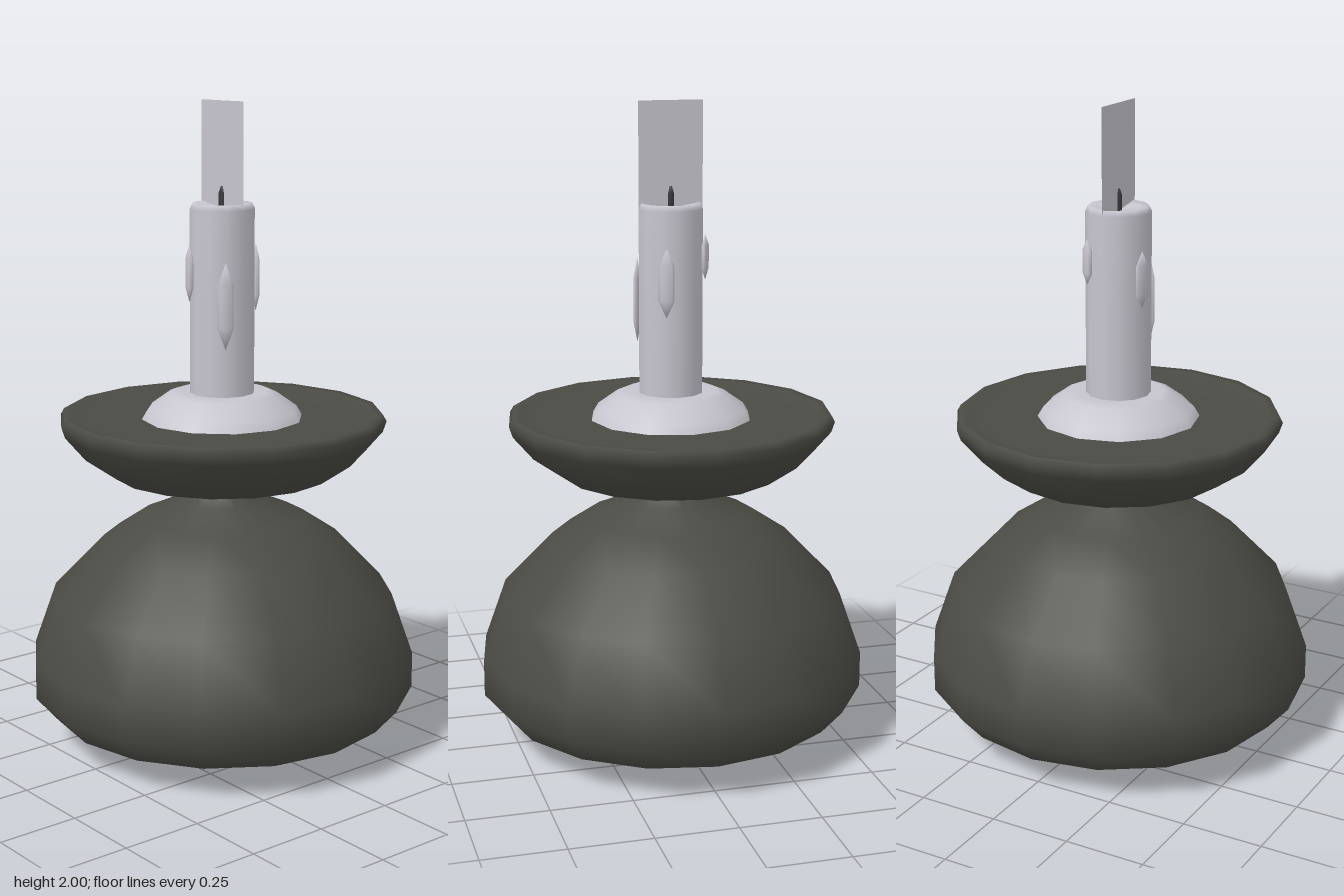
import * as THREE from 'three';

const mat = (name, color, extra = {}) => {
  const m = new THREE.MeshStandardMaterial({ color, ...extra });
  m.name = name;
  return m;
};

// Turned part from [radius, height] pairs listed bottom to top
function turned(name, points, sides, material) {
  const geo = new THREE.LatheGeometry(points.map(([r, y]) => new THREE.Vector2(r, y)), sides);
  const mesh = new THREE.Mesh(geo, material);
  mesh.name = name;
  return mesh;
}

export function createModel() {
  const group = new THREE.Group();
  group.name = 'candleHolder';
  const iron = mat('darkIron', 0x4a4b44);
  const wax = mat('paleWax', 0xc6c4cd);
  const wickMat = mat('charredWick', 0x38373a);
  const flameMat = mat('flameCard', 0xc6c4cd, { side: THREE.DoubleSide });

  // Domed foot with a narrow neck
  group.add(turned('foot', [
    [0, 0], [0.354, 0.022], [0.534, 0.093], [0.603, 0.172], [0.603, 0.283],
    [0.534, 0.478], [0.376, 0.643], [0.265, 0.717], [0.138, 0.772], [0.111, 0.815],
  ], 16, iron));

  // Drip dish, shallowly hollowed on top
  group.add(turned('dish', [
    [0, 0.81], [0.111, 0.813], [0.16, 0.828], [0.34, 0.858], [0.434, 0.923], [0.497, 0.997],
    [0.508, 1.03], [0.497, 1.05], [0.475, 1.046], [0.43, 1.036], [0, 1.03],
  ], 16, iron));

  // Melted wax around the candle foot
  group.add(turned('waxPool', [
    [0.253, 1.03], [0.234, 1.062], [0.17, 1.108], [0.145, 1.117], [0.09, 1.112],
  ], 12, wax));

  // Candle with softened rim and dished top
  group.add(turned('candle', [
    [0.1, 1.05], [0.1, 1.4], [0.1, 1.678], [0.092, 1.695], [0.07, 1.69], [0, 1.678],
  ], 12, wax));

  // Wick: square stem with a pointed tip
  const wick = turned('wick', [[0.011, 1.67], [0.011, 1.725], [0.004, 1.745], [0, 1.745]], 4, wickMat);
  wick.geometry.rotateY(Math.PI / 4);
  group.add(wick);

  // Wax drips: x, z, centre height, half height
  const drips = [
    [-0.035, 0.1, 1.485, 0.088],
    [0.09, 0.06, 1.393, 0.132],
    [0.04, -0.1, 1.465, 0.105],
    [-0.093, -0.055, 1.535, 0.07],
  ];
  const dripGeo = new THREE.SphereGeometry(1, 8, 3);
  for (const [x, z, y, half] of drips) {
    const drip = new THREE.Mesh(dripGeo, wax);
    drip.name = 'waxDrip';
    drip.position.set(x, y, z);
    drip.rotation.y = Math.atan2(x, z);
    drip.scale.set(0.028, half, 0.011);
    group.add(drip);
  }

  // Flat upright flame card
  const flame = new THREE.Mesh(new THREE.PlaneGeometry(0.2, 0.32), flameMat);
  flame.name = 'flame';
  flame.position.y = 1.84;
  group.add(flame);

  return group;
}
